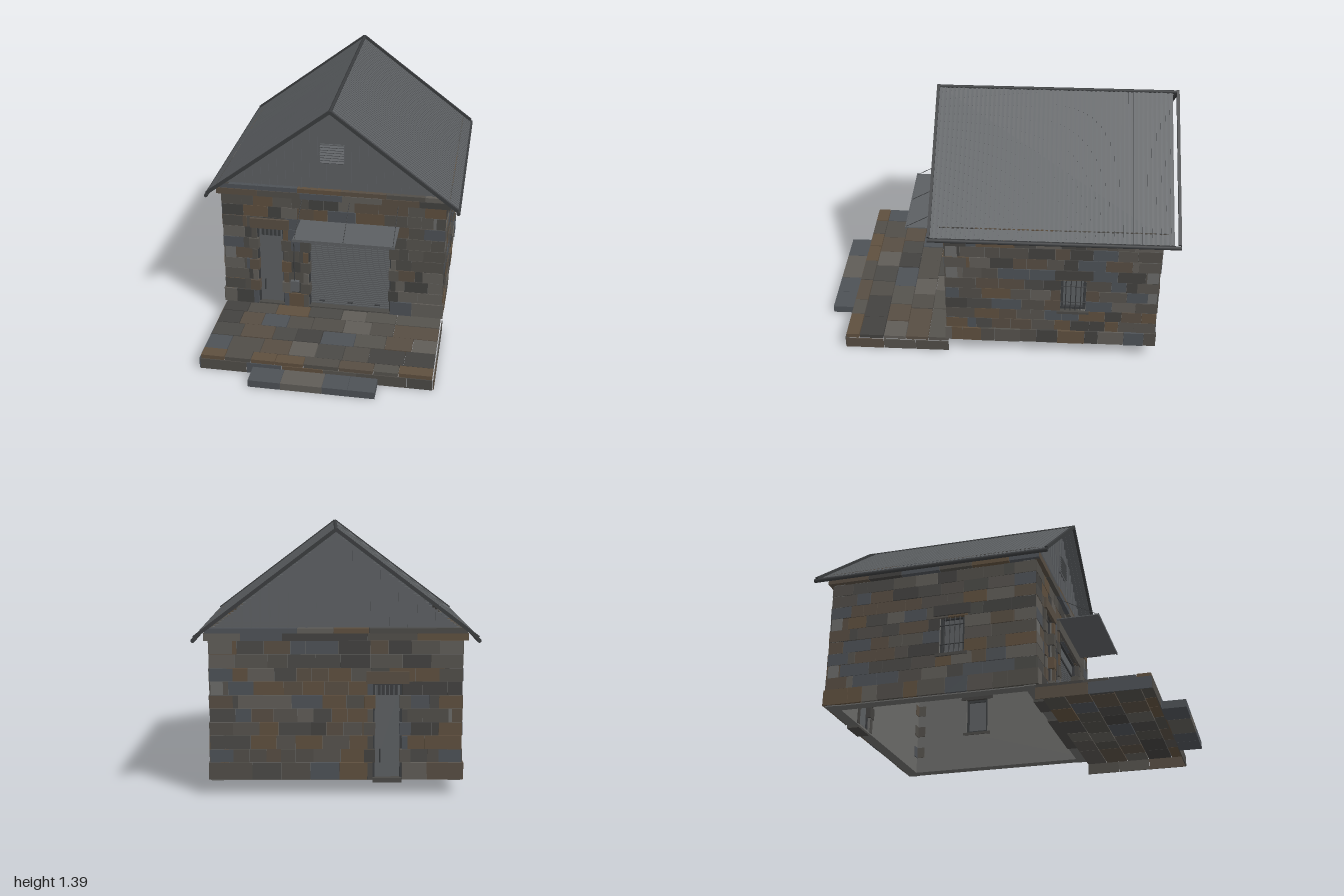
import * as THREE from 'three';
import { mergeGeometries } from 'three/addons/utils/BufferGeometryUtils.js';

const STONE = [0x55524d, 0x4a4946, 0x5f5c57, 0x574d42, 0x42413f, 0x4d5156, 0x5e4f3e, 0x504d48];
const mat = (color, extra = {}) => new THREE.MeshStandardMaterial({ color, ...extra });
const METAL = mat(0x5c5f62), DARK = mat(0x3a3c3e), MORTAR = mat(0x6a6a68);

let seed = 7;
const rnd = () => (seed = (seed * 16807) % 2147483647) / 2147483647;

// box geometry from min / max corners
function boxGeo(x0, x1, y0, y1, z0, z1) {
  return new THREE.BoxGeometry(x1 - x0, y1 - y0, z1 - z0)
    .translate((x0 + x1) / 2, (y0 + y1) / 2, (z0 + z1) / 2);
}
function add(parent, name, geo, material) {
  const m = new THREE.Mesh(geo, material);
  m.name = name;
  parent.add(m);
  return m;
}
const box = (parent, name, material, ...c) => add(parent, name, boxGeo(...c), material);

function rod(parent, name, a, b, r, material = DARK) {
  const p = new THREE.Vector3(...a), q = new THREE.Vector3(...b);
  const m = add(parent, name, new THREE.CylinderGeometry(r, r, p.distanceTo(q), 10), material);
  m.position.copy(p).lerp(q, 0.5);
  m.quaternion.setFromUnitVectors(new THREE.Vector3(0, 1, 0), q.sub(p).normalize());
}

// collects stones by colour and merges each colour into one mesh
function stonePile(parent, name) {
  const bins = STONE.map(() => []);
  return {
    put: (...c) => bins[Math.floor(rnd() * STONE.length)].push(boxGeo(...c)),
    done: () => bins.forEach((b, i) => b.length && add(parent, name, mergeGeometries(b), mat(STONE[i]))),
  };
}
// cuts a run into random stone widths
function course(a, b, min, max, fn) {
  for (let u = a; u < b - 1e-4;) {
    let e = u + min + rnd() * (max - min);
    if (b - e < min * 0.7) e = b;
    fn(u, e);
    u = e;
  }
}

const BASE = 0.085, ROW0 = 0.175, ROWH = 0.0708, THICK = 0.07;

// one wall: u runs along local x, the outer face lies at local z = 0
function wall(name, width, openings) {
  const g = new THREE.Group(), h = width / 2;
  g.name = name;
  const s = new THREE.Shape([[-h, 0.08], [h, 0.08], [h, 0.83], [-h, 0.83]].map(p => new THREE.Vector2(...p)));
  for (const o of openings) {
    s.holes.push(new THREE.Path([[o.a, o.y0], [o.a, o.y1], [o.b, o.y1], [o.b, o.y0]].map(p => new THREE.Vector2(...p))));
  }
  const core = new THREE.ExtrudeGeometry(s, { depth: THICK - 0.006, bevelEnabled: false });
  add(g, 'wallCore', core.translate(0, 0, -THICK), MORTAR);

  const pile = stonePile(g, 'wallStones');
  for (let k = -1; k < 9; k++) {
    const y0 = k < 0 ? BASE : ROW0 + k * ROWH, y1 = ROW0 + (k + 1) * ROWH;
    const out = k < 0 ? 0.008 : 0, end = h + out;
    const cuts = openings.filter(o => Math.min(y1, o.y1) - Math.max(y0, o.y0) > 0.015).sort((p, q) => p.a - q.a);
    let from = -end;
    for (const c of [...cuts, { a: end, b: end }]) {
      course(from, c.a, 0.075, 0.17, (u, e) => {
        pile.put(u + 0.001, e - 0.001, y0 + 0.001, y1 - 0.001, -0.03, out + rnd() * 0.005 - 0.002);
      });
      from = c.b;
    }
    // corner stones on every other course, showing on the inside
    if (k % 2 === 0) {
      pile.put(-h, -h + 0.12, y0 + 0.002, y1 - 0.002, -THICK - 0.004, 0.003);
      pile.put(h - 0.12, h, y0 + 0.002, y1 - 0.002, -THICK - 0.004, 0.003);
    }
    // alternating jamb stones of the doorways pass through the wall
    for (const c of cuts.filter(o => o.y0 < 0.2)) {
      const w = k % 2 ? 0.028 : 0.045, t = k % 2 ? 0 : 0.012;
      pile.put(c.a - w, c.a + t, y0 + 0.002, y1 - 0.002, -THICK - 0.004, 0.01);
      pile.put(c.b - t, c.b + w, y0 + 0.002, y1 - 0.002, -THICK - 0.004, 0.01);
    }
  }
  // cornice in two courses
  [[0.815, 0.852, 0.024], [0.852, 0.878, 0.019]].forEach(([y0, y1, o]) =>
    course(-h - o, h + o, 0.18, 0.26, (u, e) => pile.put(u + 0.001, e - 0.001, y0, y1, -0.05, o)));
  pile.done();
  // lintels, sills and thresholds
  for (const o of openings) {
    const isWindow = o.y0 > 0.2;
    box(g, 'lintel', mat(STONE[o.b - o.a > 0.3 ? 0 : isWindow ? 4 : 3]), o.a - 0.035, o.b + 0.035,
      o.y1, o.y1 + 0.062, -THICK - 0.004, isWindow ? 0.008 : 0.016);
    if (isWindow) box(g, 'windowSill', mat(STONE[1]), o.a - 0.02, o.b + 0.02, o.y0 - 0.016, o.y0, -THICK - 0.006, 0.009);
    else box(g, 'threshold', mat(STONE[1]), o.a, o.b, 0.068, o.y0 + 0.002, -THICK, 0.003);
  }
  return g;
}

// side bars and head of a frame
function frame(parent, o, t, z0, z1) {
  box(parent, 'frame', DARK, o.a, o.a + t, o.y0, o.y1, z0, z1);
  box(parent, 'frame', DARK, o.b - t, o.b, o.y0, o.y1, z0, z1);
  box(parent, 'frame', DARK, o.a, o.b, o.y1 - t, o.y1, z0, z1);
}
function barredWindow(parent, o) {
  frame(parent, o, 0.014, -0.055, -0.02);
  box(parent, 'frame', DARK, o.a, o.b, o.y0, o.y0 + 0.014, -0.055, -0.02);
  box(parent, 'windowPane', METAL, o.a, o.b, o.y0, o.y1, -0.045, -0.04);
  for (let i = 1; i < 5; i++) {
    const u = o.a + (o.b - o.a) * i / 5;
    rod(parent, 'windowBar', [u, o.y0, -0.008], [u, o.y1, -0.008], 0.003);
  }
  for (const f of [0.25, 0.75]) {
    const y = o.y0 + (o.y1 - o.y0) * f;
    rod(parent, 'windowCrossBar', [o.a, y, -0.008], [o.b, y, -0.008], 0.003);
  }
}
function door(parent, o) {
  frame(parent, o, 0.01, -0.055, -0.015);
  box(parent, 'doorLeaf', METAL, o.a, o.b, o.y0, o.y1, -0.045, -0.03);
  const v = { a: o.a + 0.02, b: o.b - 0.02, y0: o.y1 - 0.065, y1: o.y1 - 0.012 };
  box(parent, 'doorVent', DARK, v.a, v.b, v.y0, v.y1, -0.034, -0.028);
  for (let i = 0; i < 6; i++) {
    const u = v.a + (v.b - v.a) * i / 5;
    rod(parent, 'doorVentBar', [u, v.y0, -0.024], [u, v.y1, -0.024], 0.003, METAL);
  }
  box(parent, 'doorHandle', DARK, o.a + 0.035, o.a + 0.041, 0.17, 0.24, -0.032, -0.018);
}
function rollerShutter(parent, o) {
  frame(parent, o, 0.008, -0.06, -0.015);
  const n = 34, h = (o.y1 - 0.06 - o.y0) / n, slats = [];
  for (let i = 0; i < n; i++) {
    const y = o.y0 + i * h;
    slats.push(boxGeo(o.a, o.b, y, y + h, -0.05, -0.042));
    slats.push(boxGeo(o.a, o.b, y + h * 0.2, y + h * 0.8, -0.046, -0.037));
  }
  add(parent, 'shutterSlats', mergeGeometries(slats), METAL);
  box(parent, 'shutterHood', METAL, o.a, o.b, o.y1 - 0.065, o.y1, -0.06, -0.03);
  box(parent, 'shutterRail', DARK, o.a, o.b, o.y1 - 0.078, o.y1 - 0.07, -0.045, -0.03);
  for (const u of [-0.07, 0.1, 0.265]) box(parent, 'shutterHandle', DARK, u - 0.016, u + 0.016, 0.113, 0.119, -0.045, -0.028);
}

// gable of narrow boards with stepped tops and raised ribs
function gable(parent, z) {
  const n = 80, w = 1.26 / n, top = x => Math.max(0.87, 1.367 - 0.768 * Math.abs(x));
  const pts = [new THREE.Vector2(-0.63, 0.86)], ribs = [];
  for (let i = 0; i < n; i++) {
    const x = -0.63 + i * w, y = Math.min(top(x), top(x + w));
    pts.push(new THREE.Vector2(x, y), new THREE.Vector2(x + w, y));
    if (i % 3 === 1) ribs.push(boxGeo(x + w * 0.2, x + w * 0.8, 0.86, y, z - 0.012, z + 0.012));
  }
  pts.push(new THREE.Vector2(0.63, 0.86));
  const geo = new THREE.ExtrudeGeometry(new THREE.Shape(pts), { depth: 0.012, bevelEnabled: false });
  add(parent, 'gableBoards', geo.translate(0, 0, z - 0.006), METAL);
  add(parent, 'gableRibs', mergeGeometries(ribs), METAL);
}

function roof(root) {
  const g = new THREE.Group();
  g.name = 'roof';
  root.add(g);
  const len = Math.hypot(0.715, 0.54), ang = Math.atan2(0.54, 0.715);
  for (const s of [-1, 1]) {
    // ribbed sheet, ribs running down the slope
    const parts = [boxGeo(-len / 2, len / 2, -0.002, 0.002, -0.6525, 0.6525)], n = 52;
    for (let i = 0; i < n; i++) {
      const z = -0.6525 + 1.305 * (i + 0.5) / n;
      parts.push(boxGeo(-len / 2, len / 2, -0.005, 0.005, z - 0.006, z + 0.006));
    }
    const sheet = mergeGeometries(parts).rotateZ(-s * ang).translate(s * 0.3575, 1.106, -0.3025);
    add(g, 'roofSheet', sheet, METAL);
    for (const z of [0.354, -0.984]) {
      const t = add(g, 'vergeTrim', new THREE.BoxGeometry(len, 0.018, 0.016), DARK);
      t.position.set(s * 0.3575, 1.109, z);
      t.rotation.z = -s * ang;
    }
    rod(g, 'eaveTube', [s * 0.719, 0.824, 0.362], [s * 0.719, 0.824, -0.992], 0.011);
  }
  rod(g, 'ridgeTube', [0, 1.376, 0.362], [0, 1.376, -0.992], 0.01);
  gable(g, 0.265);
  gable(g, -0.89);
  // louvred vent
  box(g, 'ventPlate', METAL, -0.07, 0.07, 1.04, 1.155, 0.27, 0.281);
  for (let i = 0; i < 7; i++) {
    const l = add(g, 'ventLouvre', new THREE.BoxGeometry(0.136, 0.004, 0.016), METAL);
    l.position.set(0, 1.05 + i * 0.0158, 0.284);
    l.rotation.x = 0.6;
  }
}

export function createModel() {
  const root = new THREE.Group();
  root.name = 'stoneBuilding';

  // walls with their openings
  const doorO = { a: -0.45, b: -0.29, y0: 0.09, y1: 0.602 };
  const shutO = { a: -0.145, b: 0.345, y0: 0.09, y1: 0.602 };
  const backO = { a: 0.19, b: 0.34, y0: 0.09, y1: 0.59 };
  const win = { a: 0.0525, b: 0.1925, y0: 0.317, y1: 0.54 };
  const place = (g, x, z, ry) => { g.position.set(x, 0, z); g.rotation.y = ry; root.add(g); return g; };
  const front = place(wall('frontWall', 1.3, [doorO, shutO]), 0, 0.28, 0);
  const back = place(wall('backWall', 1.3, [backO]), 0, -0.905, Math.PI);
  door(front, doorO);
  rollerShutter(front, shutO);
  door(back, backO);
  for (const s of [1, -1]) {
    const side = place(wall(s > 0 ? 'leftWall' : 'rightWall', 1.185, [win]), s * 0.65, -0.3125, s * Math.PI / 2);
    barredWindow(side, win);
  }

  // meter box and conduit beside the door
  box(root, 'meterBox', METAL, -0.25, -0.2, 0.195, 0.265, 0.28, 0.302);
  rod(root, 'conduit', [-0.228, 0.265, 0.288], [-0.228, 0.515, 0.288], 0.003);

  // canopy over the shutter
  box(root, 'canopyPlate', METAL, -0.185, 0.388, 0.668, 0.673, 0.28, 0.525);
  box(root, 'canopyLip', METAL, -0.187, 0.39, 0.661, 0.676, 0.521, 0.528);
  for (const x of [-0.175, 0.1, 0.378]) rod(root, 'canopyStay', [x, 0.673, 0.522], [x, 0.808, 0.283], 0.0018);

  roof(root);

  // thin terrace slabs, open below, with facing stones round the edge
  const paving = stonePile(root, 'terraceStones');
  const rows = [0.27, 0.39, 0.52, 0.65, 0.79, 0.868];
  for (let i = 0; i < 5; i++) {
    course(-0.648, 0.648, 0.13, 0.2, (u, e) =>
      paving.put(u + 0.002, e - 0.002, 0.062, 0.082 + rnd() * 0.004, rows[i] + 0.002, rows[i + 1] - 0.002));
  }
  course(-0.65, 0.65, 0.16, 0.28, (u, e) => paving.put(u + 0.001, e - 0.001, 0, 0.064, 0.868, 0.873));
  for (const x of [-0.657, 0.652]) {
    course(0.27, 0.87, 0.16, 0.28, (u, e) => paving.put(x, x + 0.005, 0, 0.064, u + 0.001, e - 0.001));
  }
  // front step
  const steps = [-0.35, -0.17, 0.06, 0.2, 0.35];
  for (let i = 0; i < 4; i++) paving.put(steps[i] + 0.001, steps[i + 1] - 0.001, 0, 0.042, 0.873, 1);
  paving.done();

  return root;
}
